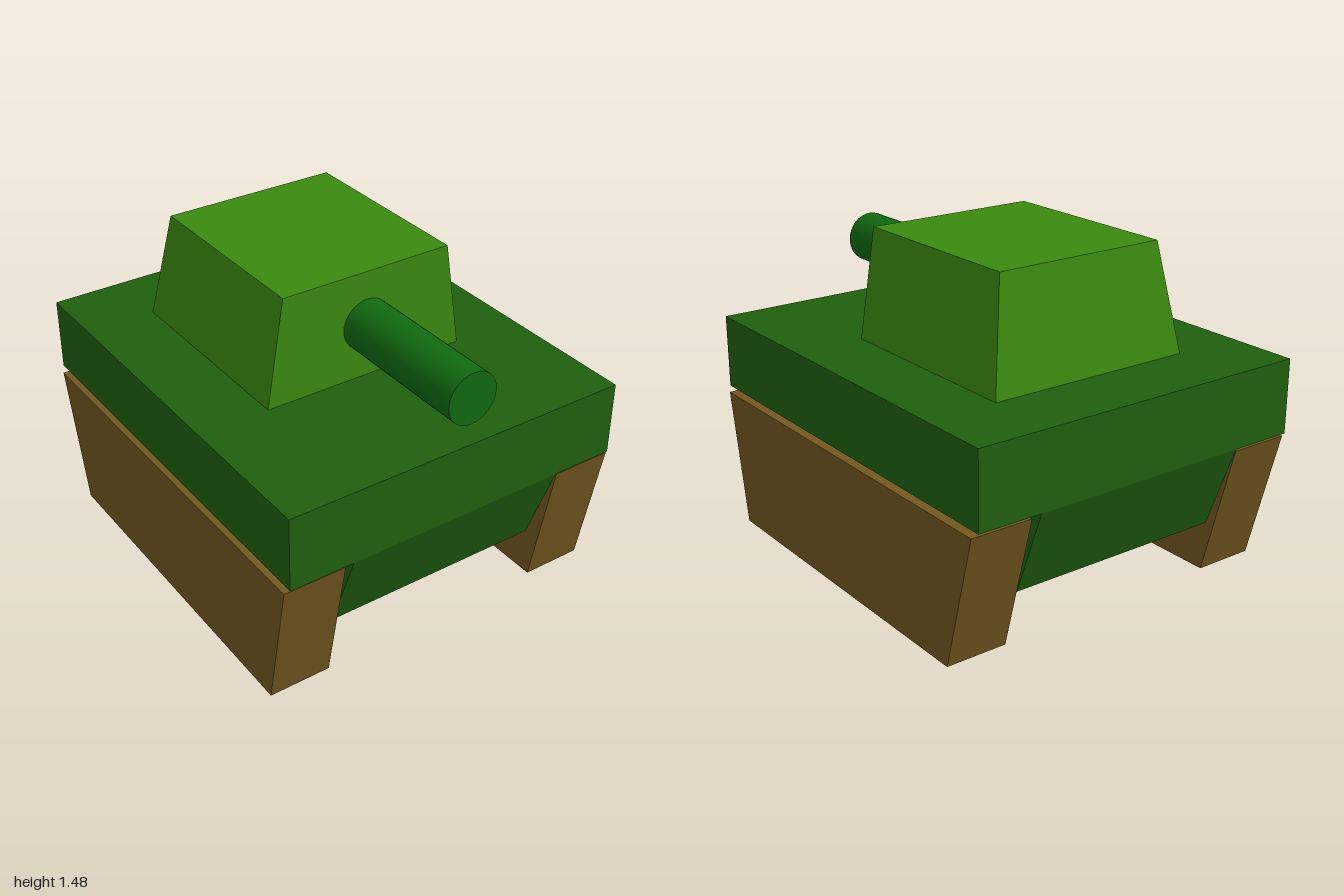
import * as THREE from 'three';

// Box whose bottom and top rectangles differ: each is { x: [min, max], y, z: [min, max] }
function taperedBox(bottom, top) {
  const box = new THREE.BoxGeometry(1, 1, 1).toNonIndexed();
  const p = box.attributes.position;
  for (let i = 0; i < p.count; i++) {
    const level = p.getY(i) > 0 ? top : bottom;
    p.setXYZ(i, level.x[p.getX(i) > 0 ? 1 : 0], level.y, level.z[p.getZ(i) > 0 ? 1 : 0]);
  }
  box.computeVertexNormals();
  return box;
}

export function createModel() {
  const tank = new THREE.Group();
  tank.name = 'tank';

  const paint = (color, flatShading = true) => new THREE.MeshStandardMaterial({ color, flatShading });
  const hullGreen = paint(0x20600f);
  const turretGreen = paint(0x3a8a10);
  const barrelGreen = paint(0x116a11, false);
  const trackBrown = paint(0x735820);

  const add = (name, geometry, material) => {
    const mesh = new THREE.Mesh(geometry, material);
    mesh.name = name;
    tank.add(mesh);
    return mesh;
  };

  // Hull: wide deck over a narrower belly that slopes in at front and back
  const deckX = [-0.815, 0.815], bellyX = [-0.52, 0.52], hullZ = [-1, 0.965];
  add('upperHull', taperedBox({ x: deckX, y: 0.643, z: hullZ }, { x: deckX, y: 0.983, z: hullZ }), hullGreen);
  add('lowerHull', taperedBox({ x: bellyX, y: 0.247, z: [-0.85, 0.82] }, { x: bellyX, y: 0.643, z: hullZ }), hullGreen);

  // Tracks, one each side
  for (const [name, x] of [['leftTrack', [0.545, 0.83]], ['rightTrack', [-0.83, -0.545]]]) {
    add(name, taperedBox({ x, y: 0, z: [-0.81, 0.83] }, { x, y: 0.62, z: [-0.975, 0.945] }), trackBrown);
  }

  // Turret: upright front, sloping sides and back
  add('turret', taperedBox(
    { x: [-0.49, 0.49], y: 0.983, z: [-0.672, 0.31] },
    { x: [-0.41, 0.41], y: 1.475, z: [-0.59, 0.31] }), turretGreen);

  // Gun barrel
  const barrel = add('gunBarrel', new THREE.CylinderGeometry(0.117, 0.117, 0.7, 32), barrelGreen);
  barrel.rotation.x = Math.PI / 2;
  barrel.position.set(0, 1.23, 0.65);

  return tank;
}
